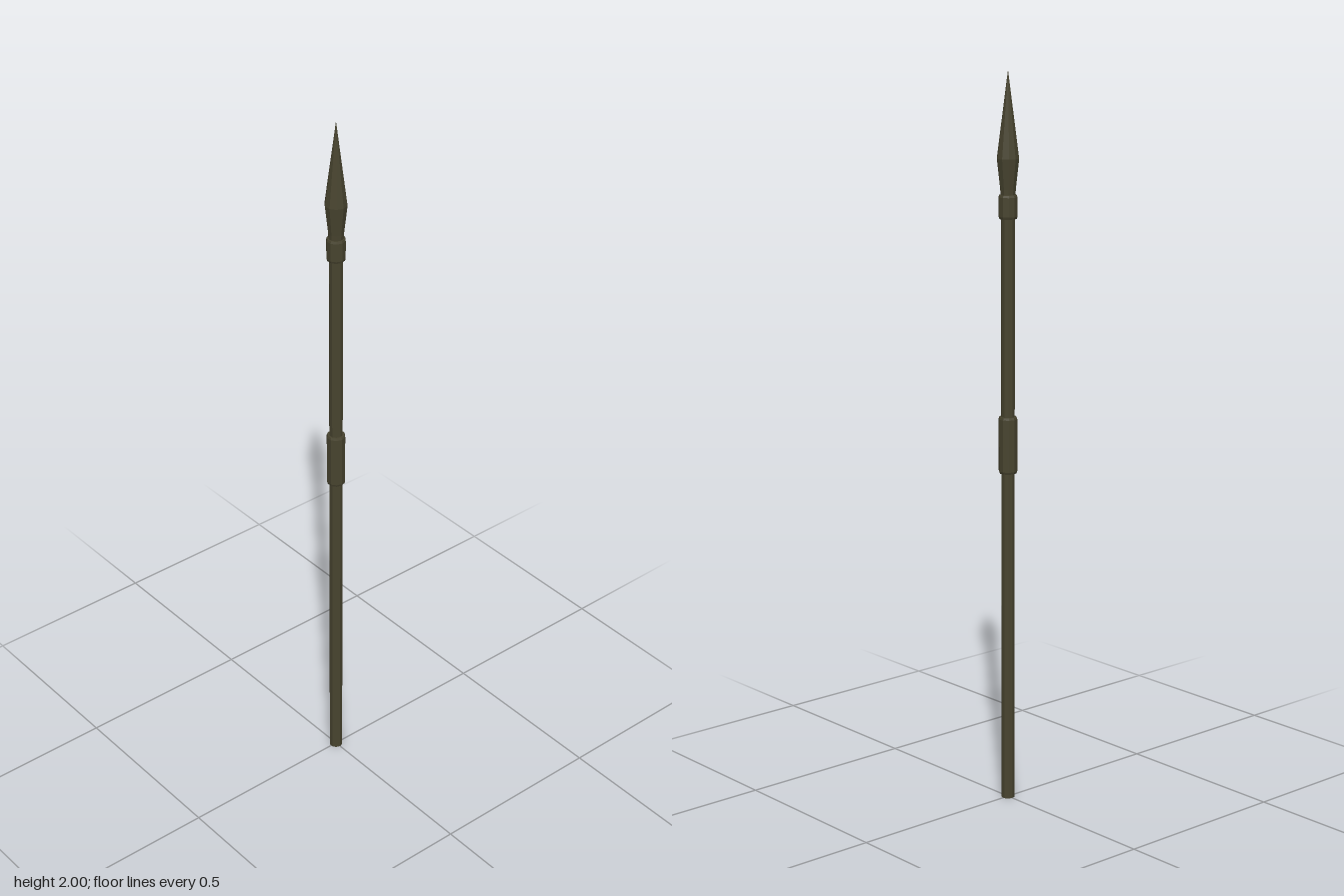
import * as THREE from 'three';

const SIDES = 10;

export function createModel() {
  const group = new THREE.Group();
  group.name = 'spear';
  const darkOlive = new THREE.MeshStandardMaterial({ color: 0x48442f, flatShading: true });
  darkOlive.name = 'dark olive';

  // Ten-sided turned part from [radius, height] points, listed bottom to top
  const turned = (name, points) => {
    const profile = points.map(([r, y]) => new THREE.Vector2(r, y));
    const mesh = new THREE.Mesh(new THREE.LatheGeometry(profile, SIDES, Math.PI / 2), darkOlive);
    mesh.name = name;
    group.add(mesh);
  };

  // Sleeve around the shaft with slightly bevelled rims
  const sleeve = (name, bottom, top, r) => turned(name, [
    [0.015, bottom], [r - 0.002, bottom], [r, bottom + 0.006],
    [r, top - 0.006], [r - 0.002, top], [0.015, top],
  ]);

  turned('shaft', [[0, 0], [0.0185, 0], [0.0185, 1.66], [0, 1.66]]);
  sleeve('grip', 0.925, 1.08, 0.0255);
  sleeve('collar', 1.612, 1.675, 0.0255);

  // Pointed head swelling from a narrow neck
  turned('spearhead', [[0, 1.66], [0.0195, 1.66], [0.021, 1.69], [0.03, 1.77], [0, 2]]);

  return group;
}
